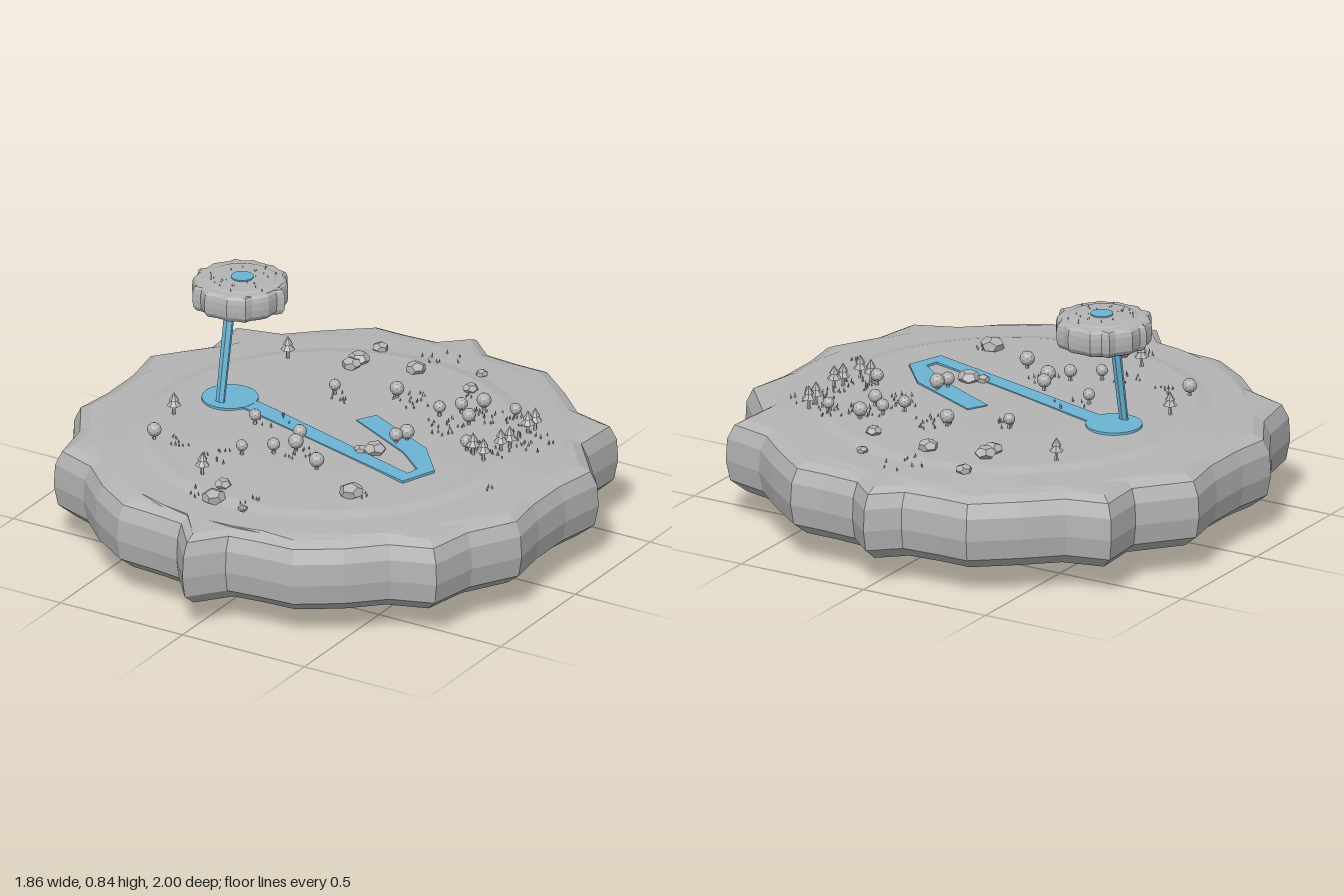
import * as THREE from 'three';
import { mergeGeometries } from 'three/addons/utils/BufferGeometryUtils.js';

const stone = new THREE.MeshStandardMaterial({ color: 0xb4b4b4, flatShading: true });
stone.name = 'stone grey';
const water = new THREE.MeshStandardMaterial({ color: 0x6cb4d4, flatShading: true });
water.name = 'water blue';

// Right half of the scalloped rim, from back to front, as [x, z]
const half = [
  [0, -1], [0.1, -0.91], [0.24, -0.9], [0.36, -0.9], [0.51, -0.78], [0.63, -0.67], [0.79, -0.63],
  [0.78, -0.45], [0.93, -0.27], [0.9, -0.1], [0.9, 0.08], [0.92, 0.23], [0.82, 0.4], [0.785, 0.58],
  [0.63, 0.635], [0.51, 0.75], [0.36, 0.85], [0.22, 0.86], [0.1, 0.875], [0, 1],
];
const rim = [...half, ...half.slice(1, -1).reverse().map(([x, z]) => [-x, z])];

// Rings from the bottom tip to the crown: [radius, height, how far it follows the rim]
const rings = [
  [0, 0.005, 0], [0.4, 0.025, 0], [0.65, 0.053, 0.3], [0.87, 0.085, 1], [0.925, 0.1, 1], [0.985, 0.145, 1],
  [1, 0.22, 1], [0.995, 0.3, 1], [0.97, 0.35, 1], [0.93, 0.368, 1], [0.82, 0.375, 0],
  [0.7, 0.38, 0], [0.65, 0.391, 0], [0.58, 0.392, 0], [0.36, 0.397, 0], [0, 0.4, 0],
];

function islandGeometry() {
  const n = rim.length, pos = [];
  const point = (i, j) => {
    const [r, y, follow] = rings[i], [x, z] = rim[j % n];
    const k = r * (follow + (1 - follow) / Math.hypot(x, z));
    return [x * k, y, z * k];
  };
  for (let i = 0; i < rings.length - 1; i++) {
    for (let j = 0; j < n; j++) {
      const a = point(i, j), b = point(i, j + 1), c = point(i + 1, j + 1), d = point(i + 1, j);
      if (rings[i + 1][0] > 0) pos.push(...a, ...d, ...c);
      if (rings[i][0] > 0) pos.push(...a, ...c, ...b);
    }
  }
  const g = new THREE.BufferGeometry();
  g.setAttribute('position', new THREE.Float32BufferAttribute(pos, 3));
  g.computeVertexNormals();
  return g;
}

// Height of the ground at a distance from the centre
function ground(x, z) {
  const r = Math.hypot(x, z);
  for (let i = 10; i < rings.length - 1; i++) {
    const [r0, y0] = rings[i], [r1, y1] = rings[i + 1];
    if (r >= r1) return THREE.MathUtils.lerp(y0, y1, Math.max(0, (r0 - r) / (r0 - r1)));
  }
  return 0.4;
}

let seed = 11;
const rand = () => (seed = (seed * 16807) % 2147483647) / 2147483647;

// x, z, radius
const boulders = [
  [-0.21, -0.67, 0.03], [0.2, -0.68, 0.022], [-0.21, -0.525, 0.04], [-0.21, -0.475, 0.036], [0, -0.565, 0.037],
  [0.245, -0.53, 0.029], [0.23, 0.085, 0.041], [0.185, 0.105, 0.026], [0.335, 0.415, 0.045],
  [-0.085, 0.59, 0.031], [-0.065, 0.685, 0.043], [0.06, 0.695, 0.018],
];
const roundTrees = [
  [0.315, -0.355], [0.365, -0.425], [0.495, -0.425], [0.265, -0.29], [0.385, -0.29], [0.06, -0.34],
  [-0.14, -0.25], [0.49, -0.105], [0.275, -0.055], [0.255, -0.015], [-0.25, 0.105], [-0.045, 0.14],
  [-0.015, 0.215], [-0.07, 0.275], [0.125, 0.305], [-0.16, 0.34], [-0.495, 0.38],
];
const conifers = [
  [0.59, -0.4], [0.585, -0.36], [0.605, -0.205], [0.59, -0.17], [0.525, -0.09], [0.58, -0.07],
  [-0.44, -0.425], [-0.54, 0.175], [-0.2, 0.54],
];
// Grass patches: x, z, spread, blades
const patches = [
  [0.62, -0.3, 0.09, 26], [0.48, -0.38, 0.08, 20], [0.56, -0.15, 0.08, 20], [0.12, -0.34, 0.07, 14],
  [0.33, -0.22, 0.08, 16], [0.36, -0.36, 0.06, 12], [-0.2, 0.05, 0.07, 8], [0.02, 0.24, 0.06, 12],
  [-0.22, 0.4, 0.07, 10], [-0.4, 0.36, 0.05, 8], [0.08, 0.66, 0.05, 8], [-0.15, 0.67, 0.03, 4],
  [0.02, -0.72, 0.08, 8], [0.25, -0.5, 0.04, 6], [-0.1, -0.23, 0.05, 8], [0.35, 0.4, 0.04, 6], [0.7, 0.1, 0.03, 3],
];

function blade(x, y, z, size) {
  return new THREE.ConeGeometry(0.004 * size, 0.018 * size, 3).rotateY(rand() * 6)
    .rotateZ((rand() - 0.5) * 0.6).translate(x, y + 0.007 * size, z);
}

export function createModel() {
  const model = new THREE.Group();
  const add = (name, geometry, material) => {
    const mesh = new THREE.Mesh(geometry, material);
    mesh.name = name;
    model.add(mesh);
    return mesh;
  };

  // Large island and the small one floating above it
  const island = islandGeometry();
  add('mainIsland', island, stone);
  const small = add('floatingIsland', island, stone);
  small.scale.set(0.18, 0.34, 0.18);
  small.rotation.y = Math.PI / 2;
  small.position.set(-0.437, 0.7, -0.108);

  // River plate with its bends
  const bank = [
    [-0.4, -0.07], [-0.26, -0.03], [0.42, 0.178], [0.43, 0.13], [0.32, 0.04], [0.04, -0.1], [0.08, -0.17],
    [0.37, -0.03], [0.49, 0.11], [0.44, 0.243], [-0.32, 0.028], [-0.42, 0],
  ];
  const shape = new THREE.Shape(bank.map(([x, z]) => new THREE.Vector2(x, -z)));
  const river = new THREE.ExtrudeGeometry(shape, { depth: 0.009, bevelEnabled: false });
  add('river', river.rotateX(-Math.PI / 2).translate(0, 0.394, 0), water);

  // Pools and the slanting waterfall between them
  add('lowerPool', new THREE.CylinderGeometry(0.1, 0.1, 0.009, 24).translate(-0.435, 0.3995, -0.03), water);
  add('upperPool', new THREE.CylinderGeometry(0.04, 0.04, 0.008, 16).translate(-0.433, 0.836, -0.108), water);
  const fall = add('waterfall', new THREE.CylinderGeometry(0.021, 0.018, 0.35, 6).scale(1, 1, 0.55), water);
  fall.position.set(-0.443, 0.565, -0.008);
  fall.rotation.x = -0.19;

  // Boulders
  add('boulders', mergeGeometries(boulders.map(([x, z, r]) =>
    new THREE.DodecahedronGeometry(r).rotateX(rand() * 3).rotateY(rand() * 3).scale(1, 0.65, 1)
      .translate(x, ground(x, z) + r * 0.35, z))), stone);

  // Round trees and conifers
  const trunks = [], crowns = [], cones = [];
  const trunk = (x, z) => trunks.push(
    new THREE.CylinderGeometry(0.005, 0.007, 0.036, 5).translate(x, ground(x, z) + 0.018, z));
  for (const [x, z] of roundTrees) {
    trunk(x, z);
    crowns.push(new THREE.IcosahedronGeometry(0.021 + rand() * 0.007, 1).translate(x, ground(x, z) + 0.036, z));
  }
  for (const [x, z] of conifers) {
    trunk(x, z);
    cones.push(
      new THREE.ConeGeometry(0.026, 0.03, 7).translate(x, ground(x, z) + 0.05, z),
      new THREE.ConeGeometry(0.018, 0.03, 7).translate(x, ground(x, z) + 0.07, z));
  }
  add('treeTrunks', mergeGeometries(trunks), stone);
  add('roundTreeCrowns', mergeGeometries(crowns), stone);
  add('coniferCrowns', mergeGeometries(cones), stone);

  // Grass on both islands
  const grass = [];
  for (const [cx, cz, spread, count] of patches) {
    for (let i = 0; i < count; i++) {
      const a = rand() * Math.PI * 2, r = spread * Math.sqrt(rand());
      const x = cx + Math.cos(a) * r, z = cz + Math.sin(a) * r;
      grass.push(blade(x, ground(x, z), z, 0.8 + rand() * 0.5));
    }
  }
  for (let i = 0; i < 30; i++) {
    const a = rand() * Math.PI * 2, r = 0.05 + rand() * 0.08;
    grass.push(blade(-0.437 + Math.cos(a) * r, 0.831, -0.108 + Math.sin(a) * r, 0.7));
  }
  add('grass', mergeGeometries(grass), stone);

  return model;
}
